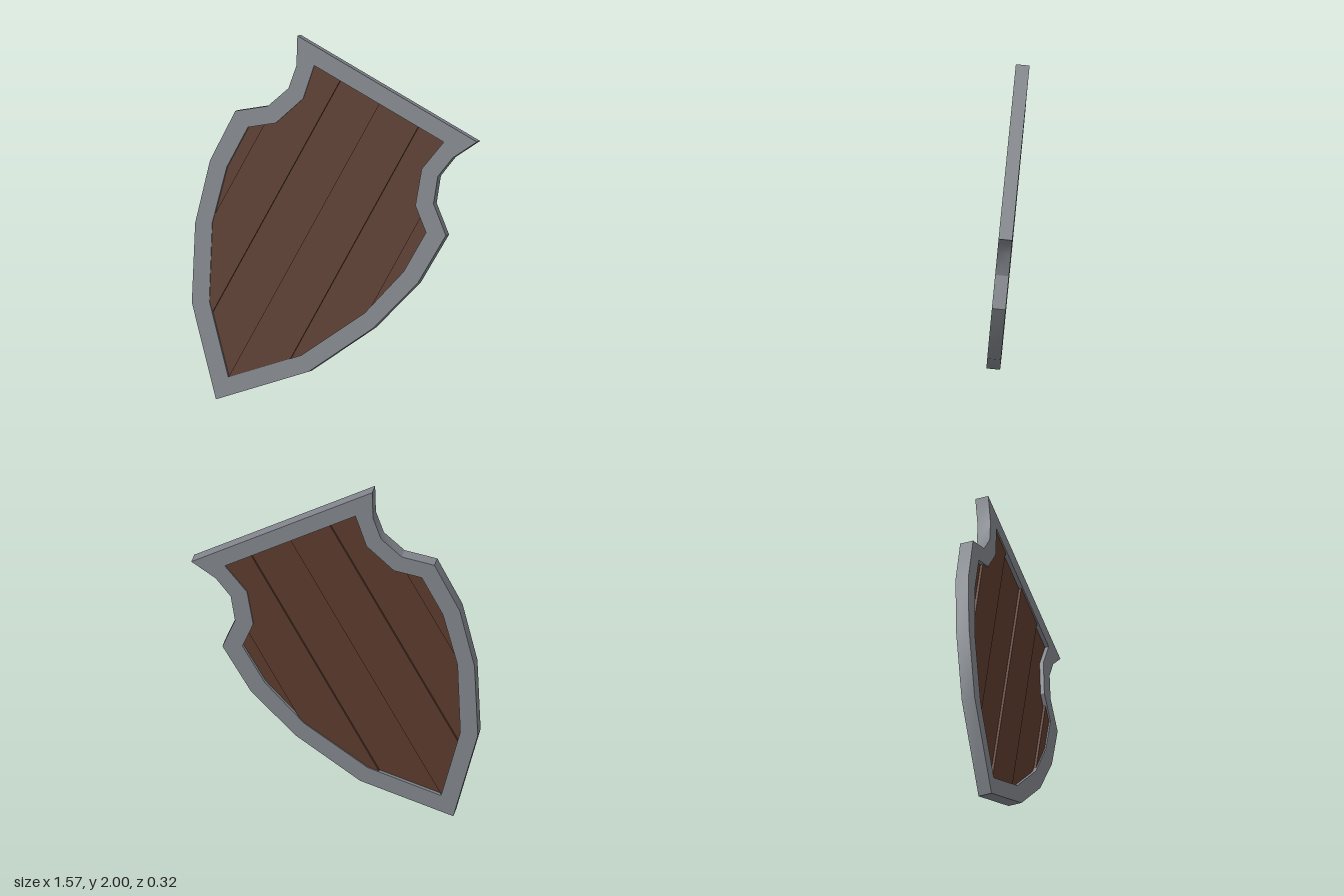
import * as THREE from 'three';
import { toCreasedNormals } from 'three/addons/utils/BufferGeometryUtils.js';

// Half outlines, from the top corner down to the tip (u across, v along the shield)
const OUTER = [[0.575, 1.957], [0.5, 1.813], [0.478, 1.682], [0.53, 1.54], [0.674, 1.425],
  [0.665, 1.12], [0.57, 0.78], [0.374, 0.392], [0, 0]];
const INNER = [[0.415, 1.863], [0.38, 1.673], [0.447, 1.481], [0.57, 1.383], [0.566, 1.134],
  [0.488, 0.828], [0.294, 0.448], [0, 0.14]];

// Mirror a half outline into a closed one
const mirror = (half) => [...half, ...half.slice(0, -1).reverse().map(([u, v]) => [-u, v])];
const toPoints = (pts) => pts.map(([u, v]) => new THREE.Vector2(u, v));

// Keep the part of an outline where side * u >= side * limit
function clip(pts, limit, side) {
  const out = [];
  pts.forEach((p, i) => {
    const q = pts[(i + 1) % pts.length];
    const a = side * (p[0] - limit), b = side * (q[0] - limit);
    if (a >= 0) out.push(p);
    if (a * b < 0) out.push([limit, p[1] + (q[1] - p[1]) * a / (a - b)]);
  });
  return out;
}

// Extrude a shape between two depths, smooth along gentle bends only
function slab(name, shape, back, front, material) {
  const geometry = new THREE.ExtrudeGeometry(shape, { depth: front - back, bevelEnabled: false });
  geometry.translate(0, 0, back);
  const mesh = new THREE.Mesh(toCreasedNormals(geometry, 0.53), material);
  mesh.name = name;
  return mesh;
}

export function createModel() {
  const steel = new THREE.MeshStandardMaterial({ name: 'steelGrey', color: 0x80848a });
  const wood = new THREE.MeshStandardMaterial({ name: 'brownWood', color: 0x5a3a2c });

  const shield = new THREE.Group();
  shield.name = 'shield';
  const inner = mirror(INNER);

  // Metal rim; the opening runs the other way round so its walls face inward
  const rim = new THREE.Shape(toPoints(mirror(OUTER)));
  rim.holes.push(new THREE.Path(toPoints(inner).reverse()));
  shield.add(slab('rim', rim, -0.075, 0, steel));

  // Six boards side by side, set alternately further back and further forward
  const width = 0.25;
  for (let i = -3; i < 3; i++) {
    const strip = clip(clip(inner, i * width, 1), (i + 1) * width, -1);
    const front = i % 2 === 0 ? -0.008 : -0.022;
    shield.add(slab('board' + (i + 4), new THREE.Shape(toPoints(strip)), front - 0.045, front, wood));
  }

  // Lean the shield over and back, with the tip at the lower corner
  const normal = new THREE.Vector3(0.0855, 0.0858, 1).normalize();
  const along = new THREE.Vector3(0.905, 1.72, -0.225).normalize();
  const across = new THREE.Vector3().crossVectors(along, normal).normalize();
  along.crossVectors(normal, across);
  shield.quaternion.setFromRotationMatrix(new THREE.Matrix4().makeBasis(across, along, normal));
  shield.position.set(-0.63, 0.008, 0.162);

  const model = new THREE.Group();
  model.name = 'woodenShield';
  model.add(shield);
  return model;
}
